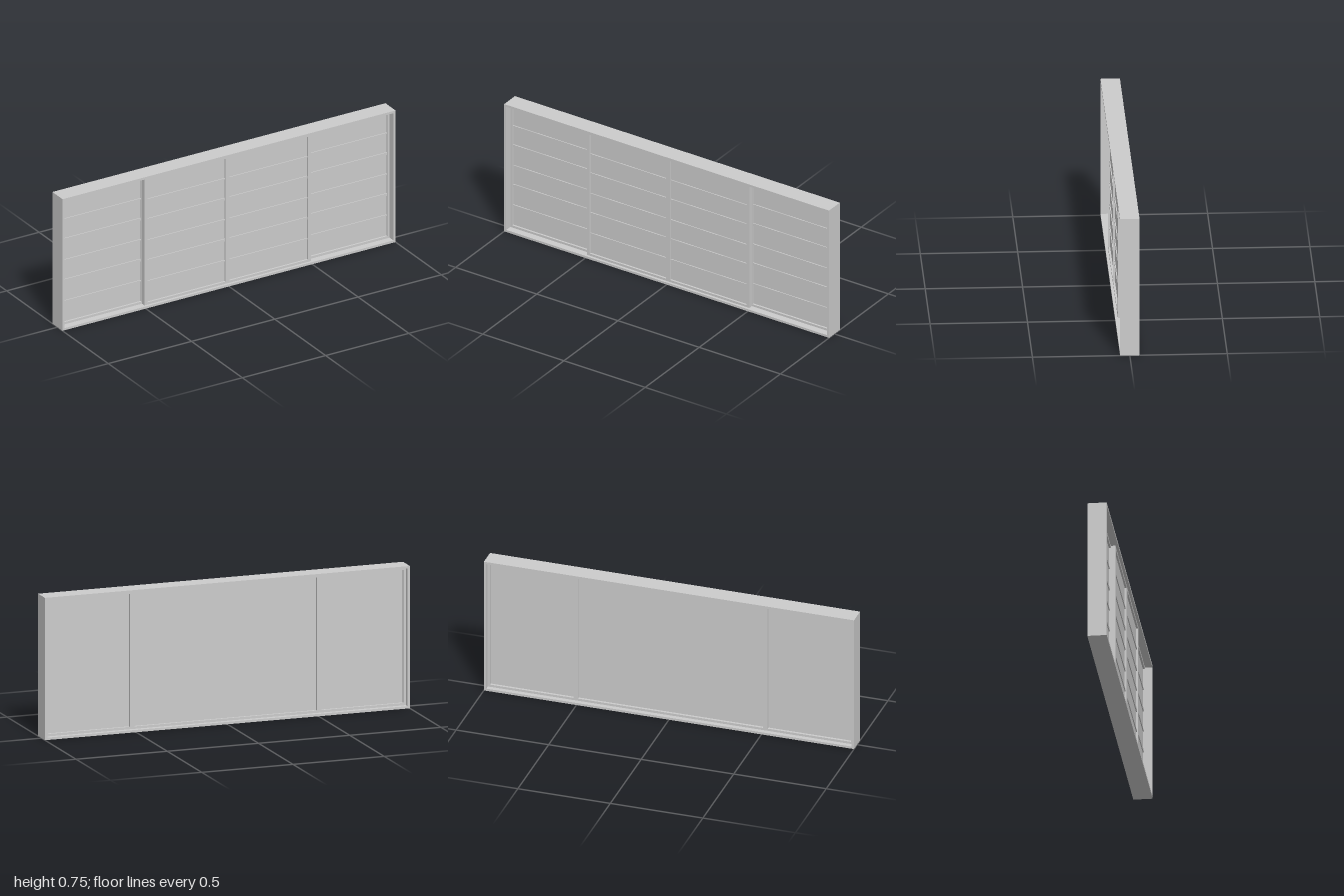
import * as THREE from 'three';

const W = 2, H = 0.75, D = 0.1;   // overall size
const LIP = 0.0125;               // outer frame thickness
const RAIL = 0.025;               // top and bottom edge of the panes

export function createModel() {
  const model = new THREE.Group();
  const material = new THREE.MeshStandardMaterial({ color: 0xcccccc });

  // Box given by its limits on each axis
  function block(parent, name, x0, x1, y0, y1, z0, z1) {
    const mesh = new THREE.Mesh(new THREE.BoxGeometry(x1 - x0, y1 - y0, z1 - z0), material);
    mesh.position.set((x0 + x1) / 2, (y0 + y1) / 2, (z0 + z1) / 2);
    mesh.name = name;
    parent.add(mesh);
  }

  // Rectangular ring with its own left and right stile widths
  function ring(parent, name, x0, x1, y0, y1, z0, z1, left, right, rail) {
    const shape = new THREE.Shape();
    shape.moveTo(x0, y0).lineTo(x1, y0).lineTo(x1, y1).lineTo(x0, y1).closePath();
    const hole = new THREE.Path();
    hole.moveTo(x0 + left, y0 + rail).lineTo(x0 + left, y1 - rail)
      .lineTo(x1 - right, y1 - rail).lineTo(x1 - right, y0 + rail).closePath();
    shape.holes.push(hole);
    const geometry = new THREE.ExtrudeGeometry(shape, { depth: z1 - z0, bevelEnabled: false });
    geometry.translate(0, 0, z0);
    const mesh = new THREE.Mesh(geometry, material);
    mesh.name = name;
    parent.add(mesh);
  }

  // Surrounding frame
  ring(model, 'outerFrame', -W / 2, W / 2, 0, H, -D / 2, D / 2, LIP, LIP, LIP);

  // Sliding panel: frame, pane and horizontal lattice on the front
  function slidingPanel(name, x0, x1, zBack, zFront, left, right) {
    const panel = new THREE.Group();
    panel.name = name;
    const y0 = LIP, y1 = H - LIP, recess = 0.01;
    ring(panel, 'panelFrame', x0, x1, y0, y1, zBack, zFront, left, right, RAIL - LIP);
    const px0 = x0 + left, px1 = x1 - right, zPane = zFront - recess;
    block(panel, 'pane', px0, px1, RAIL, H - RAIL, -0.012, zPane);
    const pitch = (H - 2 * RAIL) / 6;
    for (let i = 1; i < 6; i++) {
      const half = i % 2 ? 0.003 : 0.0075;   // thin bars alternate with wide ones
      const y = RAIL + i * pitch;
      block(panel, i % 2 ? 'thinBar' : 'wideBar', px0, px1, y - half, y + half, zPane, zPane + 0.005);
    }
    model.add(panel);
  }

  // Outer pair on the rear track, middle pair on the front track
  const edge = W / 2 - LIP;
  slidingPanel('rightOuterPanel', -edge, -0.5, -0.012, 0.012, LIP, 0.003);
  slidingPanel('leftOuterPanel', 0.5, edge, -0.012, 0.012, 0.003, LIP);
  slidingPanel('rightMiddlePanel', -0.5, 0, -0.012, 0.036, 0.0175, 0.0125);
  slidingPanel('leftMiddlePanel', 0, 0.5, -0.012, 0.036, 0.0125, 0.0175);

  // Back face: rails, jambs and two posts around three plain fields
  const back = new THREE.Group();
  back.name = 'backFrame';
  ring(back, 'backRails', -edge, edge, LIP, H - LIP, -0.025, -0.012, LIP, LIP, RAIL - LIP);
  for (const s of [-1, 1]) {
    const x = s * 0.5125;
    block(back, 'backPost', x - 0.0125, x + 0.0125, RAIL, H - RAIL, -0.025, -0.012);
  }
  model.add(back);

  return model;
}
